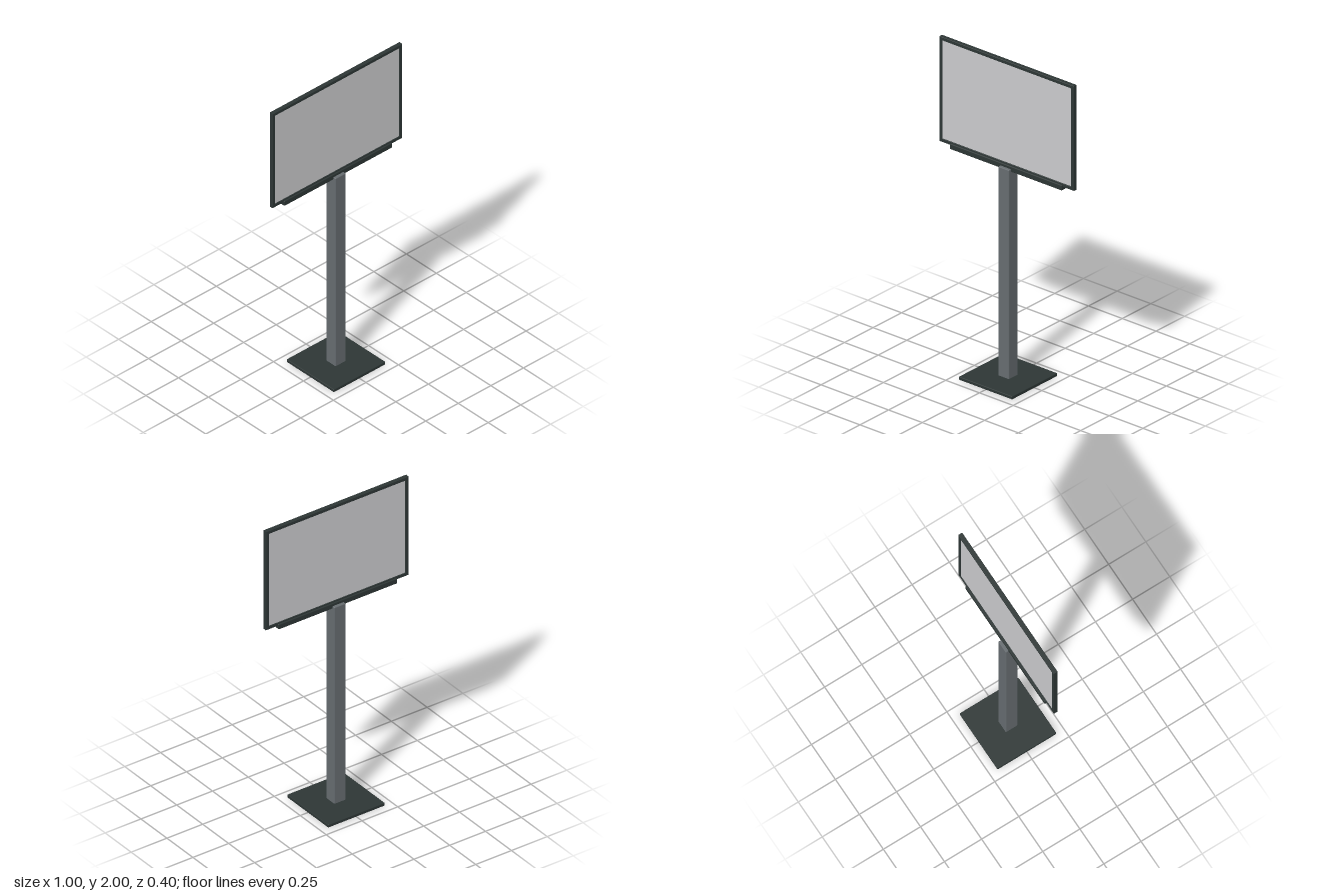
import * as THREE from 'three';
import { RoundedBoxGeometry } from 'three/addons/geometries/RoundedBoxGeometry.js';

function material(name, color) {
  const m = new THREE.MeshStandardMaterial({ color });
  m.name = name;
  return m;
}

// Rectangle centred on the origin, as a shape or a hole
function rectangle(path, halfW, halfH) {
  path.moveTo(-halfW, -halfH);
  path.lineTo(halfW, -halfH);
  path.lineTo(halfW, halfH);
  path.lineTo(-halfW, halfH);
  path.closePath();
  return path;
}

export function createModel() {
  const model = new THREE.Group();
  model.name = 'signStand';
  const dark = material('dark metal', 0x2d3635);
  const steel = material('grey steel', 0x666c70);
  const sheet = material('light grey panel', 0xcbcbcd);

  function add(name, geometry, mat, y) {
    const mesh = new THREE.Mesh(geometry, mat);
    mesh.name = name;
    mesh.position.y = y;
    model.add(mesh);
    return mesh;
  }

  // Foot plate, square post and the holder under the frame
  add('basePlate', new RoundedBoxGeometry(0.396, 0.02, 0.396, 1, 0.004), dark, 0.01);
  add('post', new RoundedBoxGeometry(0.08, 1.32, 0.08, 1, 0.005), steel, 0.675);
  add('frameHolder', new RoundedBoxGeometry(0.83, 0.034, 0.042, 1, 0.005), dark, 1.335);

  // Frame with a chamfered edge around the opening
  const bevel = 0.002;
  const depth = 0.026;
  const outline = rectangle(new THREE.Shape(), 0.498 - bevel, 0.33 - bevel);
  outline.holes.push(rectangle(new THREE.Path(), 0.477 + bevel, 0.309 + bevel));
  const frame = new THREE.ExtrudeGeometry(outline, {
    depth: depth - 2 * bevel,
    bevelEnabled: true,
    bevelSize: bevel,
    bevelThickness: bevel,
    bevelSegments: 1,
  });
  frame.translate(0, 0, -depth / 2 + bevel);
  add('frame', frame, dark, 1.67);

  // Sheet held inside the frame, visible from both sides
  add('displayPanel', new THREE.BoxGeometry(0.96, 0.624, 0.016), sheet, 1.67);

  return model;
}
